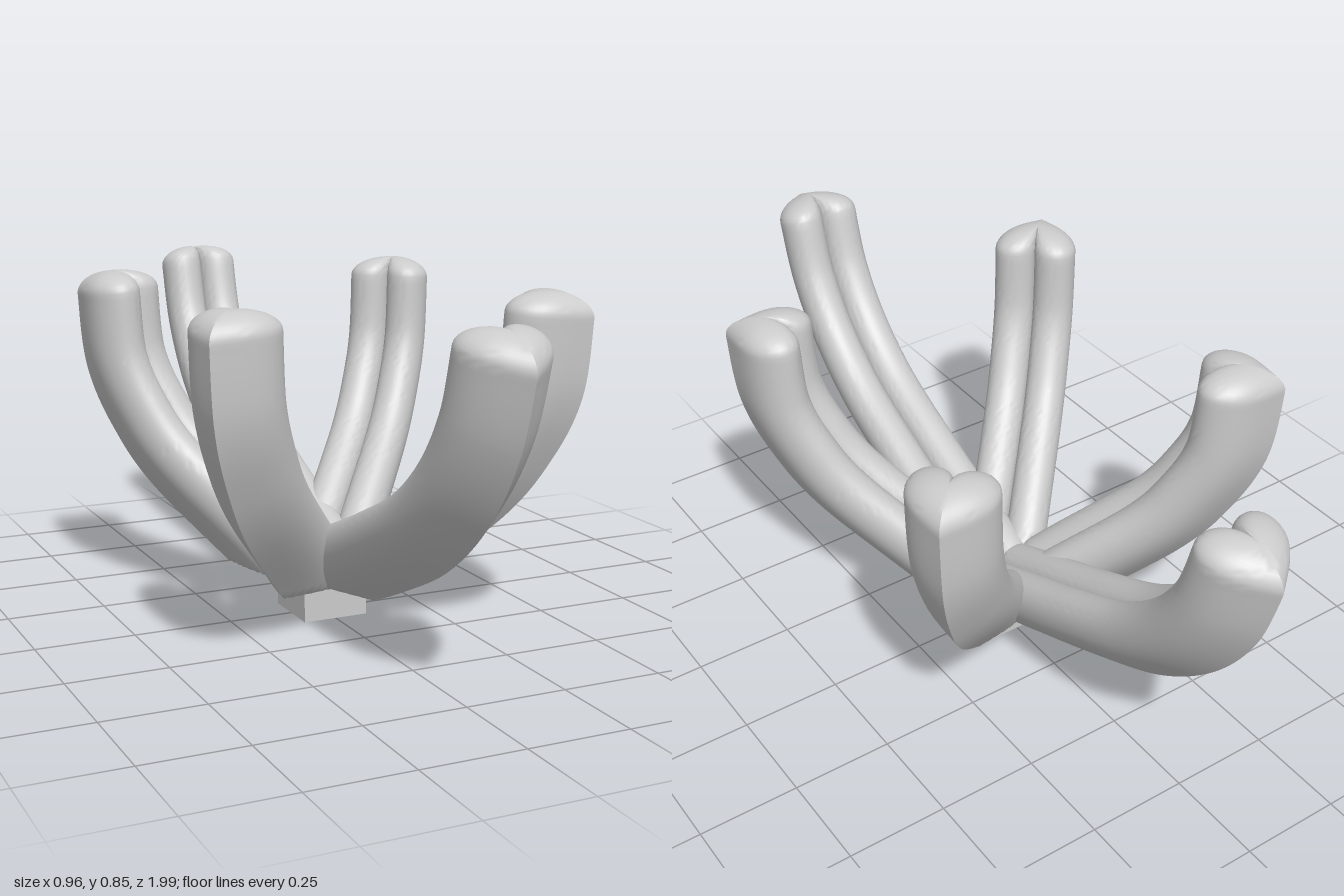
import * as THREE from 'three';
import { toCreasedNormals } from 'three/addons/utils/BufferGeometryUtils.js';

const material = new THREE.MeshStandardMaterial({ color: 0xcccccc });

// Heart cross-section: x = outward (tip), y = sideways
function heartProfile() {
  const half = new THREE.Shape();
  half.moveTo(0.1, 0);
  half.bezierCurveTo(0.06, 0.045, 0.02, 0.105, -0.04, 0.105);
  half.bezierCurveTo(-0.08, 0.105, -0.1, 0.08, -0.1, 0.053);
  half.bezierCurveTo(-0.1, 0.025, -0.08, 0, -0.05, 0);
  const pts = half.getPoints(9);
  const mirrored = pts.slice(1, -1).reverse().map((p) => new THREE.Vector2(p.x, -p.y));
  return [...pts, ...mirrored];
}

// Sweeps the heart along a (radius, height) path, with a domed end,
// trimmed flat at the bottom and at the middle plane z = 0
function armGeometry(path, angle, bottom) {
  const profile = heartProfile();
  const curve = new THREE.SplineCurve(path.map(([r, y]) => new THREE.Vector2(r, y)));
  const steps = 80, capSteps = 10, domeHeight = 0.055;
  const sin = Math.sin(angle), cos = Math.cos(angle), facing = Math.sign(cos);
  const positions = [], indices = [];

  const addRing = (centre, tangent, scale) => {
    for (const p of profile) {
      const r = centre.x + tangent.y * p.x * scale;
      const y = centre.y - tangent.x * p.x * scale;
      const w = p.y * scale;
      const z = r * cos - w * sin;
      positions.push(r * sin + w * cos, Math.max(y, bottom), facing * Math.max(0, z * facing));
    }
  };

  for (let i = 0; i <= steps; i++) {
    addRing(curve.getPointAt(i / steps), curve.getTangentAt(i / steps), 1);
  }
  const end = curve.getPointAt(1), endTangent = curve.getTangentAt(1);
  for (let i = 1; i <= capSteps; i++) {
    const t = (i / capSteps) * Math.PI / 2;
    const centre = end.clone().addScaledVector(endTangent, domeHeight * Math.sin(t));
    addRing(centre, endTangent, Math.max(0.001, Math.cos(t)));
  }

  const n = profile.length;
  for (let i = 0; i < steps + capSteps; i++) {
    for (let k = 0; k < n; k++) {
      const a = i * n + k, d = i * n + (k + 1) % n;
      indices.push(a, d, d + n, a, d + n, a + n);
    }
  }
  const geometry = new THREE.BufferGeometry();
  geometry.setAttribute('position', new THREE.Float32BufferAttribute(positions, 3));
  geometry.setIndex(indices);
  return toCreasedNormals(geometry, 0.7);
}

export function createModel() {
  const group = new THREE.Group();
  const add = (name, geometry) => {
    const mesh = new THREE.Mesh(geometry, material);
    mesh.name = name;
    group.add(mesh);
    return mesh;
  };

  // Square foot
  add('foot', new THREE.BoxGeometry(0.17, 0.106, 0.17)).position.y = 0.053;

  // Long arms to the front and back
  const longPath = [[-0.1, 0.05], [0, 0.09], [0.2, 0.175], [0.4, 0.26], [0.6, 0.36],
    [0.75, 0.485], [0.85, 0.63], [0.9, 0.785]];
  add('frontArm', armGeometry(longPath, 0, 0.106));
  add('backArm', armGeometry(longPath, Math.PI, 0.106));

  // Short diagonal arms
  const shortPath = [[-0.1, -0.075], [0, 0.01], [0.19, 0.176], [0.396, 0.353],
    [0.495, 0.482], [0.557, 0.618], [0.575, 0.788]];
  const diagonals = { frontLeftArm: 1, backLeftArm: 3, backRightArm: -3, frontRightArm: -1 };
  for (const [name, turn] of Object.entries(diagonals)) {
    add(name, armGeometry(shortPath, turn * Math.PI / 4, 0.102));
  }
  return group;
}
